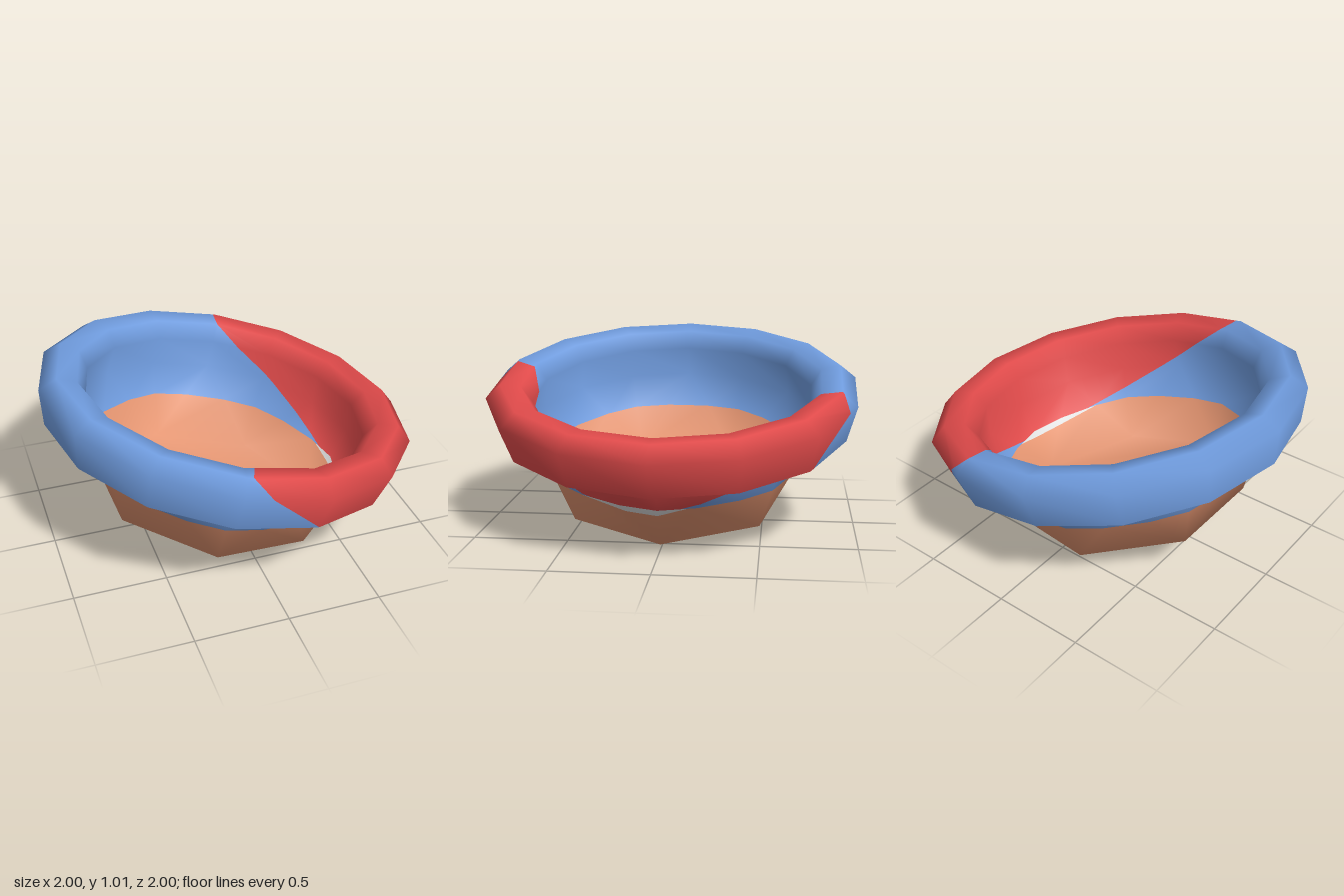
import * as THREE from 'three';

const material = (name, color) => {
  const m = new THREE.MeshStandardMaterial({ color, side: THREE.DoubleSide });
  m.name = name;
  return m;
};

// Cut a list of triangles by the plane n.p = c; corners are { p, n } and keep their smooth normals
function cut(triangles, normal, c) {
  const above = [], below = [];
  const fan = (poly, out) => {
    for (let i = 1; i + 1 < poly.length; i++) out.push([poly[0], poly[i], poly[i + 1]]);
  };
  for (const tri of triangles) {
    const up = [], down = [];
    tri.forEach((a, i) => {
      const b = tri[(i + 1) % 3];
      const da = a.p.dot(normal) - c, db = b.p.dot(normal) - c;
      (da >= 0 ? up : down).push(a);
      if ((da >= 0) !== (db >= 0)) {
        const t = da / (da - db);
        const mid = { p: a.p.clone().lerp(b.p, t), n: a.n.clone().lerp(b.n, t).normalize() };
        up.push(mid);
        down.push(mid);
      }
    });
    fan(up, above);
    fan(down, below);
  }
  return [above, below];
}

// One smooth skin: seven-sided base, flared wall, rolled lip and open-bottomed collar
function potSkin() {
  const SIDES = 14, TURN = 0.018;
  const profile = [
    [0.793, 0.41], [0.773, 0.58], [0.83, 0.672], [0.94, 0.687], [1.023, 0.614], [0.969, 0.416],
  ];
  const positions = [], index = [];
  const ring = (count, r, h, shift) => {
    for (let i = 0; i < count; i++) {
      const a = (i / count) * Math.PI * 2 + TURN;
      positions.push(r * Math.cos(a) + shift, h, r * Math.sin(a));
    }
  };
  ring(7, 0.638, 0, 0);
  for (const [r, h] of profile) ring(SIDES, r, h, -0.024);

  // base
  for (let i = 1; i < 6; i++) index.push(0, i, i + 1);
  // wall, widening from seven sides to fourteen
  for (let i = 0; i < 7; i++) {
    const b0 = i, b1 = (i + 1) % 7;
    const t0 = 7 + 2 * i, t1 = t0 + 1, t2 = 7 + ((2 * i + 2) % SIDES);
    index.push(b0, t1, b1, b0, t0, t1, b1, t1, t2);
  }
  // lip and collar
  for (let k = 0; k + 1 < profile.length; k++) {
    for (let i = 0; i < SIDES; i++) {
      const j = (i + 1) % SIDES, lo = 7 + k * SIDES, hi = lo + SIDES;
      index.push(lo + i, hi + i, lo + j, lo + j, hi + i, hi + j);
    }
  }
  const geometry = new THREE.BufferGeometry();
  geometry.setAttribute('position', new THREE.Float32BufferAttribute(positions, 3));
  geometry.setIndex(index);
  geometry.computeVertexNormals();

  const corner = (i) => ({
    p: new THREE.Vector3().fromBufferAttribute(geometry.attributes.position, i),
    n: new THREE.Vector3().fromBufferAttribute(geometry.attributes.normal, i),
  });
  const triangles = [];
  for (let i = 0; i < index.length; i += 3) triangles.push(index.slice(i, i + 3).map(corner));
  return triangles;
}

function meshFrom(triangles, mat, name) {
  const corners = triangles.flat();
  const g = new THREE.BufferGeometry();
  g.setAttribute('position', new THREE.Float32BufferAttribute(corners.flatMap((c) => c.p.toArray()), 3));
  g.setAttribute('normal', new THREE.Float32BufferAttribute(corners.flatMap((c) => c.n.toArray()), 3));
  const mesh = new THREE.Mesh(g, mat);
  mesh.name = name;
  return mesh;
}

export function createModel() {
  const model = new THREE.Group();
  model.name = 'tiltedPot';

  // glaze: level line around the wall, slanting line across the low side
  const [upper, lower] = cut(potSkin(), new THREE.Vector3(0, 1, 0), 0.234);
  const slant = new THREE.Vector3(0.54, 0.812, 0.12);
  const [redPart, bluePart] = cut(upper, slant, 0.55);
  const [whitePart, clayPart] = cut(lower, slant, 0.541);

  const pot = new THREE.Group();
  pot.name = 'pot';
  pot.add(
    meshFrom(bluePart, material('blue glaze', 0x6f9bdd), 'blueRim'),
    meshFrom(redPart, material('red glaze', 0xdf4a4a), 'redRim'),
    meshFrom(clayPart, material('terracotta', 0xe39470), 'clayBody'),
    meshFrom(whitePart, material('pale grey', 0xdcdcdc), 'palePatch'),
  );

  // the whole pot leans toward +x
  pot.rotation.z = -0.2127;
  pot.position.set(-0.103, 0.135, 0);
  model.add(pot);
  return model;
}
